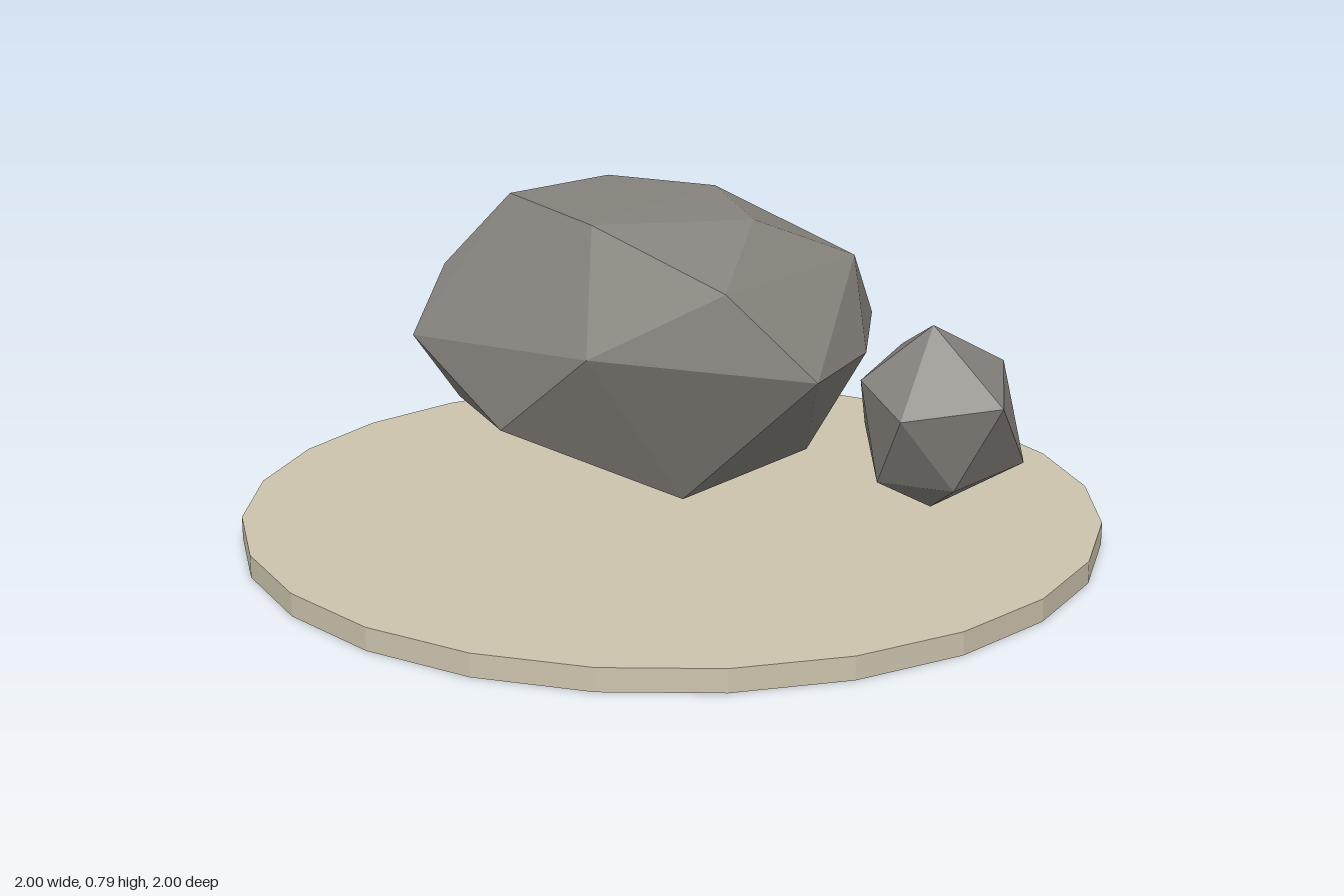
import * as THREE from 'three';
import { ConvexGeometry } from 'three/addons/geometries/ConvexGeometry.js';

const sand = new THREE.MeshStandardMaterial({ color: 0xcdc4ae, flatShading: true });
sand.name = 'sand';
const stone = new THREE.MeshStandardMaterial({ color: 0x85817b, flatShading: true });
stone.name = 'stone';

// A faceted rock wrapped around its corner points
function rock(name, corners) {
  const points = corners.map(c => new THREE.Vector3(...c));
  const mesh = new THREE.Mesh(new ConvexGeometry(points), stone);
  mesh.name = name;
  return mesh;
}

export function createModel() {
  const group = new THREE.Group();
  group.name = 'rocksOnDisc';

  // Thin round base
  const base = new THREE.Mesh(new THREE.CylinderGeometry(1, 1, 0.052, 24), sand);
  base.name = 'base';
  base.position.y = 0.026;
  group.add(base);

  // Large boulder: top, shoulders, waist, underside
  group.add(rock('boulder', [
    [0, 0.785, -0.16], [0, 0.765, 0.28], [0.24, 0.765, 0.01], [-0.36, 0.77, 0.15], [-0.29, 0.78, -0.12],
    [0.355, 0.66, -0.22], [0.355, 0.66, 0.26], [-0.46, 0.61, 0.27], [-0.24, 0.59, -0.37], [0.05, 0.55, -0.44],
    [0.54, 0.48, 0.18], [0.11, 0.51, 0.43], [-0.41, 0.48, 0.43], [-0.56, 0.48, 0.17], [-0.59, 0.48, -0.15],
    [-0.49, 0.45, -0.25], [0.3, 0.485, -0.38], [0.46, 0.47, -0.12],
    [-0.13, 0.31, 0.445], [-0.48, 0.27, 0.21], [-0.03, 0.29, -0.38],
    [0.2, 0.157, 0.21], [-0.38, 0.14, 0.01], [0.28, 0.2, -0.15],
  ]));

  // Small twelve-cornered rock beside it
  group.add(rock('smallRock', [
    [0.59, 0.54, -0.19], [0.785, 0.385, -0.175], [0.61, 0.355, -0.035], [0.46, 0.41, -0.1],
    [0.42, 0.44, -0.33], [0.66, 0.43, -0.38], [0.74, 0.21, -0.35], [0.52, 0.26, -0.465],
    [0.36, 0.25, -0.27], [0.51, 0.18, -0.1], [0.68, 0.18, -0.15], [0.54, 0.08, -0.28],
  ]));

  return group;
}
